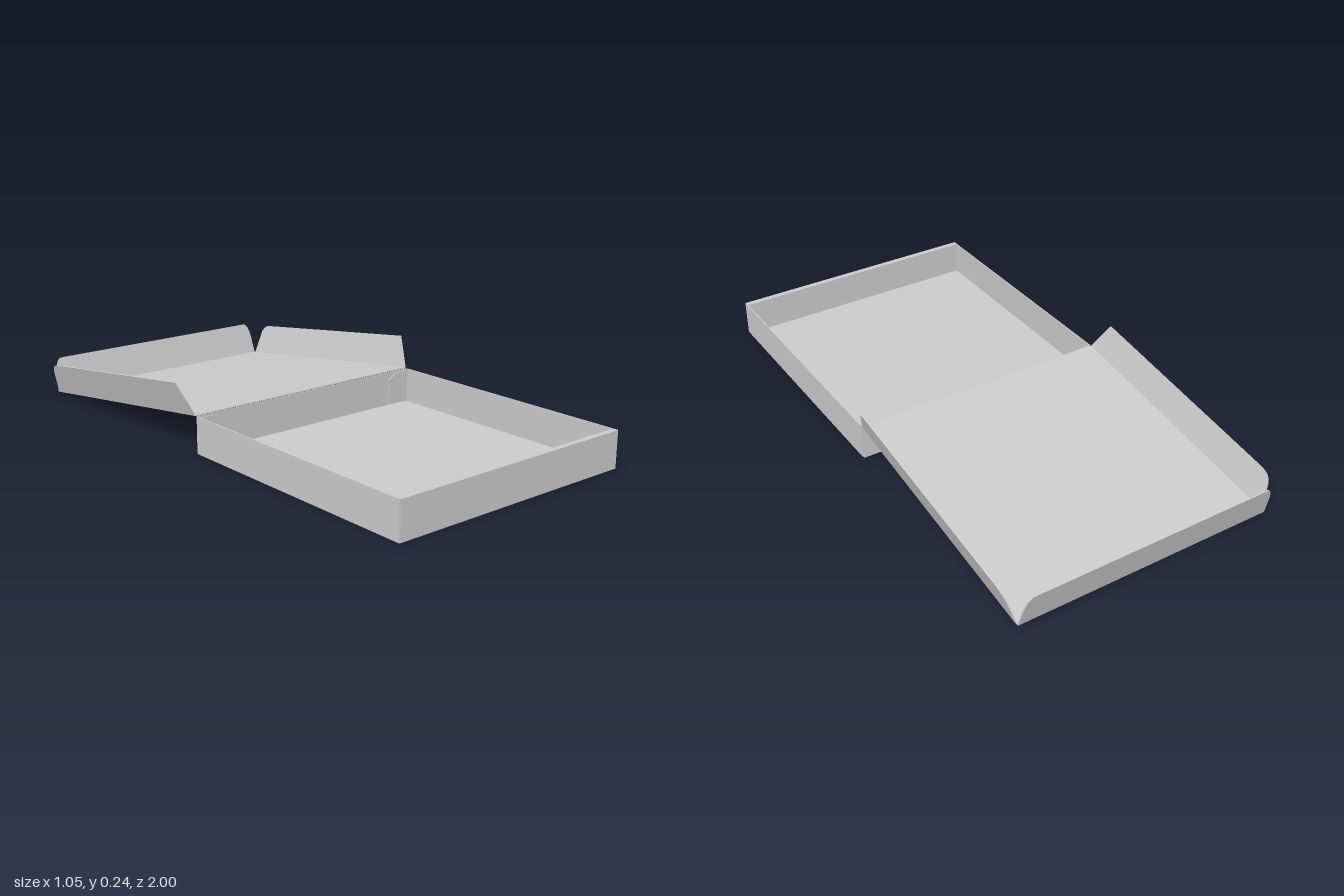
import * as THREE from 'three';

const T = 0.004; // board thickness
const V = (x, y, z) => new THREE.Vector3(x, y, z);
const material = new THREE.MeshStandardMaterial({ color: 0xcccccc, side: THREE.DoubleSide });

// Thin board: an outline in (u, v), placed at origin and centred on its plane
function panel(name, shape, origin, u, v) {
  const geo = new THREE.ExtrudeGeometry(shape, { depth: T, bevelEnabled: false, curveSegments: 6 });
  geo.translate(0, 0, -T / 2);
  const U = u.clone().normalize();
  const W = U.clone().cross(v).normalize();
  const m = new THREE.Matrix4().makeBasis(U, W.clone().cross(U), W).setPosition(origin);
  geo.applyMatrix4(m);
  const mesh = new THREE.Mesh(geo, material);
  mesh.name = name;
  return mesh;
}

const outline = (pts) => new THREE.Shape(pts.map(([x, y]) => new THREE.Vector2(x, y)));
const rect = (w, h) => outline([[0, 0], [w, 0], [w, h], [0, h]]);

export function createModel() {
  const box = new THREE.Group();
  box.name = 'openBox';
  const X = V(1, 0, 0), Y = V(0, 1, 0), Z = V(0, 0, 1);
  const half = 0.488, H = 0.133, back = 0.004, front = 0.998;

  // Tray
  const tray = new THREE.Group();
  tray.name = 'tray';
  tray.add(
    panel('trayFloor', rect(front - back, 2 * half), V(-half, T / 2, back), Z, X),
    panel('backWall', rect(2 * half, H), V(-half, 0, back), X, Y),
    panel('frontOuterWall', rect(2 * half, H), V(-half, 0, front), X, Y),
    panel('frontInnerWall', rect(2 * half, H), V(-half, 0, 0.981), X, Y),
    panel('frontRim', rect(2 * half, 0.017), V(-half, H - T / 2, 0.981), X, Z),
  );
  const tab = outline([[0, 0.004], [0.1, 0.015], [0.1, 0.105], [0.06, 0.128], [0, 0.13]]);
  for (const s of [-1, 1]) {
    tray.add(
      panel('sideWall', rect(front - 0.01, H), V(s * half, 0, 0.01), Z, Y),
      panel('backCornerTab', tab, V(s * half, 0, 0.012), V(-s, 0, 0), Y),
      panel('frontCornerTab', tab, V(s * half, 0, 0.99), V(-s, 0, 0), Y),
    );
  }
  box.add(tray);

  // Lid, folded back so its far edge rests on the ground
  const lid = new THREE.Group();
  lid.name = 'lid';
  const hinge = V(0, 0.135, 0), edge = V(0, 0.004, -0.966);
  const down = edge.clone().sub(hinge);
  const L = down.length();
  down.normalize();
  const up = X.clone().cross(down).negate();
  if (up.y < 0) up.negate();
  lid.add(panel('lidPanel', rect(L, 2 * half), V(-half, hinge.y, hinge.z), down, X));

  // Side flaps lean outward, slanted at the hinge and rounded at the far end
  const flap = new THREE.Shape();
  flap.moveTo(0, 0);
  flap.lineTo(0.05, 0.121);
  flap.lineTo(0.885, 0.121);
  flap.quadraticCurveTo(0.932, 0.121, 0.941, 0.085);
  flap.lineTo(L - 0.008, 0);
  for (const s of [-1, 1]) {
    const lean = up.clone().multiplyScalar(0.116).add(V(s * 0.035, 0, 0));
    lid.add(panel('lidSideFlap', flap, V(s * half, hinge.y, hinge.z), down, lean));
  }

  // End flap with rounded corners
  const end = new THREE.Shape();
  end.moveTo(-half, 0);
  end.lineTo(half, 0);
  end.lineTo(0.482, 0.07);
  end.quadraticCurveTo(0.475, 0.13, 0.45, 0.13);
  end.lineTo(-0.45, 0.13);
  end.quadraticCurveTo(-0.475, 0.13, -0.482, 0.07);
  lid.add(panel('lidEndFlap', end, edge, X, V(0, 0.126, -0.033)));
  box.add(lid);

  return box;
}
